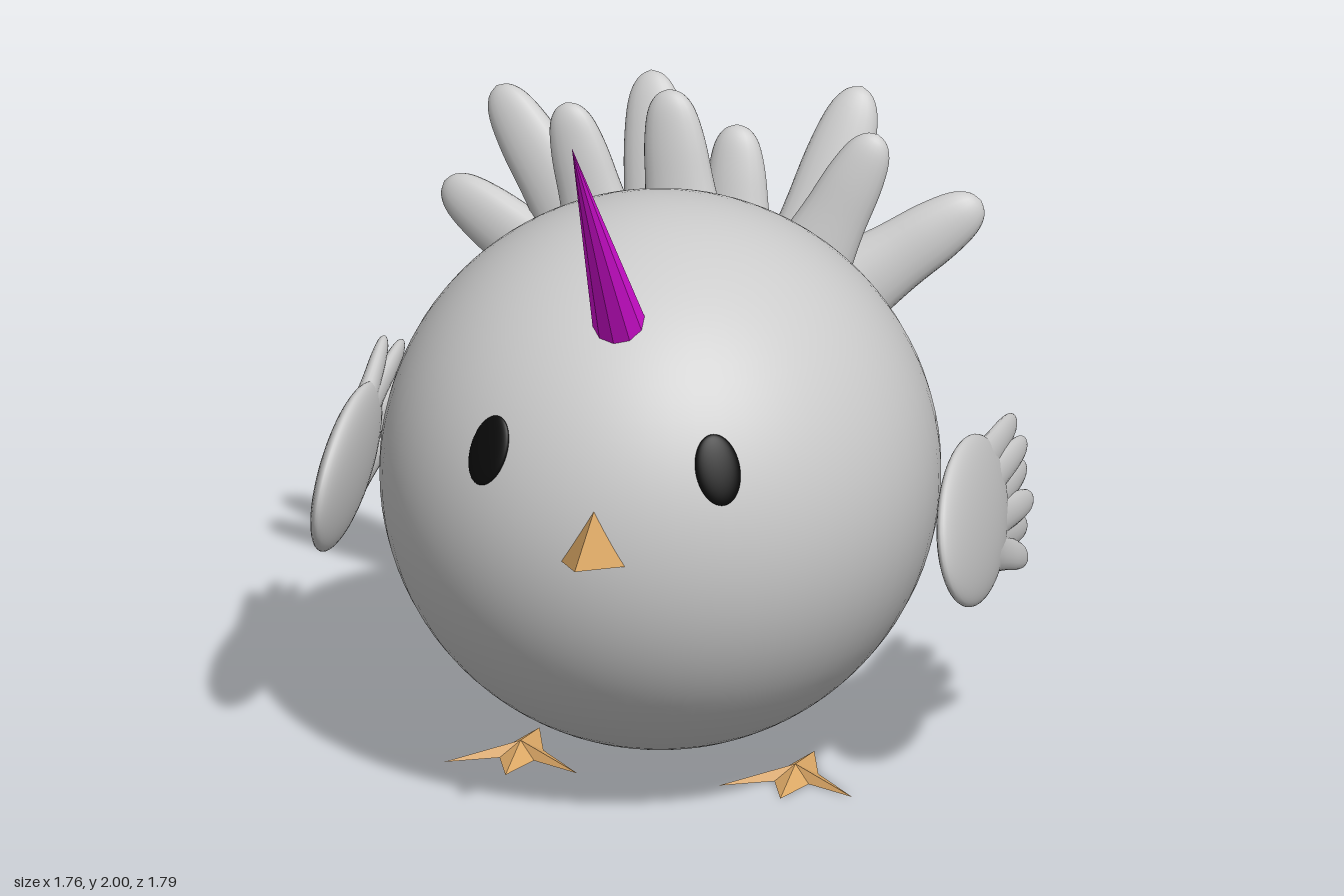
import * as THREE from 'three';

const V = (x, y, z) => new THREE.Vector3(x, y, z);
const grey = new THREE.MeshStandardMaterial({ color: 0xcccccc });
const black = new THREE.MeshStandardMaterial({ color: 0x0a0a0a });
const magenta = new THREE.MeshStandardMaterial({ color: 0xe010e0, flatShading: true });
const tan = new THREE.MeshStandardMaterial({ color: 0xdca866, flatShading: true });

const CENTER = V(0, 0.795, -0.04), R = 0.715;

function add(parent, name, geometry, material) {
  const mesh = new THREE.Mesh(geometry, material);
  mesh.name = name;
  parent.add(mesh);
  return mesh;
}

function ellipsoid(parent, name, pos, scale, material = grey) {
  const mesh = add(parent, name, new THREE.SphereGeometry(1, 40, 28), material);
  mesh.position.copy(pos);
  mesh.scale.copy(scale);
  return mesh;
}

// Rounded, tapering plume along +y with unit length and unit base radius
const plume = new THREE.LatheGeometry(new THREE.SplineCurve([
  [1, 0], [0.8, 0.2], [0.66, 0.45], [0.58, 0.7], [0.45, 0.88], [0.25, 0.97], [0, 1],
].map(([r, h]) => new THREE.Vector2(r, h))).getPoints(24), 20);

// Places a plume from root to tip, flattened along the given normal
function feather(parent, name, root, tip, width, thick, normal) {
  const dir = tip.clone().sub(root);
  const length = dir.length();
  dir.normalize();
  const n = normal.clone().addScaledVector(dir, -normal.dot(dir)).normalize();
  const side = V(0, 0, 0).crossVectors(dir, n);
  const mesh = add(parent, name, plume, grey);
  mesh.quaternion.setFromRotationMatrix(new THREE.Matrix4().makeBasis(side, dir, n));
  mesh.position.copy(root);
  mesh.scale.set(width, length, thick);
}

// Flat body with a fan of finger feathers trailing to the back (-z)
function wing(name) {
  const group = new THREE.Group();
  group.name = name;
  ellipsoid(group, 'wingBody', V(0, 0, -0.03), V(0.046, 0.207, 0.31));
  [
    [0.10, 0.09, -0.55], [0.04, 0.035, -0.53], [-0.01, -0.045, -0.575],
    [-0.05, -0.11, -0.51], [-0.09, -0.175, -0.50], [-0.11, -0.225, -0.38],
  ].forEach(([y0, y1, z], i) => feather(group, 'wingFeather',
    V(0, y0, -0.12), V(i % 2 ? 0.02 : -0.005, y1, z), 0.068, 0.036, V(1, 0, 0)));
  return group;
}

// Four-toed star with a raised middle and a flat sole
function foot() {
  const rim = [
    [0, 0.18], [0.045, 0.06], [0.175, 0.125], [0.05, -0.02],
    [0, -0.18], [-0.05, -0.02], [-0.175, 0.125], [-0.045, 0.06],
  ];
  const pos = [];
  rim.forEach(([x, z], i) => {
    const [x2, z2] = rim[(i + 1) % rim.length];
    pos.push(x, 0, z, x2, 0, z2, 0, 0.037, 0.02);
    pos.push(x2, 0, z2, x, 0, z, 0, 0, 0.02);
  });
  const geo = new THREE.BufferGeometry();
  geo.setAttribute('position', new THREE.Float32BufferAttribute(pos, 3));
  geo.computeVertexNormals();
  return geo;
}

// Three-sided beak: upright triangle base, pointed front
function beak() {
  const a = [0, 0.945, 0.63], b = [-0.1, 0.782, 0.63], c = [0.1, 0.782, 0.63], t = [0, 0.84, 0.865];
  const geo = new THREE.BufferGeometry();
  geo.setAttribute('position', new THREE.Float32BufferAttribute(
    [a, b, t, b, c, t, c, a, t, a, c, b].flat(), 3));
  geo.computeVertexNormals();
  return geo;
}

export function createModel() {
  const model = new THREE.Group();

  // Round body
  const body = add(model, 'body', new THREE.SphereGeometry(R, 64, 48), grey);
  body.position.copy(CENTER);

  // Horn, leaning forward
  const base = V(0, 1.3, 0.36), tip = V(0, 2, 0.895);
  const axis = tip.clone().sub(base);
  const horn = add(model, 'horn', new THREE.ConeGeometry(0.073, axis.length(), 10), magenta);
  horn.position.copy(base).add(tip).multiplyScalar(0.5);
  horn.quaternion.setFromUnitVectors(V(0, 1, 0), axis.normalize());

  add(model, 'beak', beak(), tan);

  for (const s of [-1, 1]) {
    // Oval eyes lying on the body
    const out = V(s * 0.3, 0.24, 0.603).normalize();
    const eye = ellipsoid(model, s > 0 ? 'leftEye' : 'rightEye',
      CENTER.clone().addScaledVector(out, R), V(0.058, 0.092, 0.016), black);
    const up = V(-s * 0.12, 1, 0).addScaledVector(out, -V(-s * 0.12, 1, 0).dot(out)).normalize();
    eye.quaternion.setFromRotationMatrix(
      new THREE.Matrix4().makeBasis(V(0, 0, 0).crossVectors(up, out), up, out));

    // Feet
    const f = add(model, s > 0 ? 'leftFoot' : 'rightFoot', foot(), tan);
    f.position.set(s * 0.36, 0, -0.035);

    // Wings; the right one is the left turned half way round
    const w = wing(s > 0 ? 'leftWing' : 'rightWing');
    w.position.set(s * 0.82, 0.732, 0);
    w.rotation.z = s > 0 ? 0.15 : Math.PI - 0.15;
    model.add(w);
  }

  // Tail: a low swelling with plumes fanning up and out
  const tail = new THREE.Group();
  tail.name = 'tail';
  model.add(tail);
  ellipsoid(tail, 'tailBase', V(0, 1.1, -0.61), V(0.4, 0.18, 0.12));
  const plumes = [
    // root, tip, width, thickness
    [[0.17, 0.97, -0.66], [0.32, 1.56, -0.88], 0.15, 0.075],
    [[-0.13, 0.97, -0.66], [-0.23, 1.56, -0.87], 0.15, 0.075],
    [[0.3, 1.08, -0.58], [0.68, 1.35, -0.69], 0.14, 0.08],
    [[-0.32, 1.05, -0.58], [-0.72, 1.29, -0.66], 0.14, 0.08],
    [[-0.28, 1.12, -0.58], [-0.59, 1.55, -0.69], 0.14, 0.075],
    [[-0.24, 1.15, -0.5], [-0.37, 1.58, -0.53], 0.13, 0.07],
    [[-0.05, 1.15, -0.55], [-0.12, 1.61, -0.61], 0.14, 0.075],
    [[0.06, 1.1, -0.6], [0.04, 1.5, -0.69], 0.13, 0.075],
    [[0.24, 1.14, -0.52], [0.44, 1.55, -0.57], 0.13, 0.07],
  ];
  for (const [a, b, w, t] of plumes) {
    feather(tail, 'tailFeather', V(...a), V(...b), w, t, V(0, 0, 1));
  }
  return model;
}
